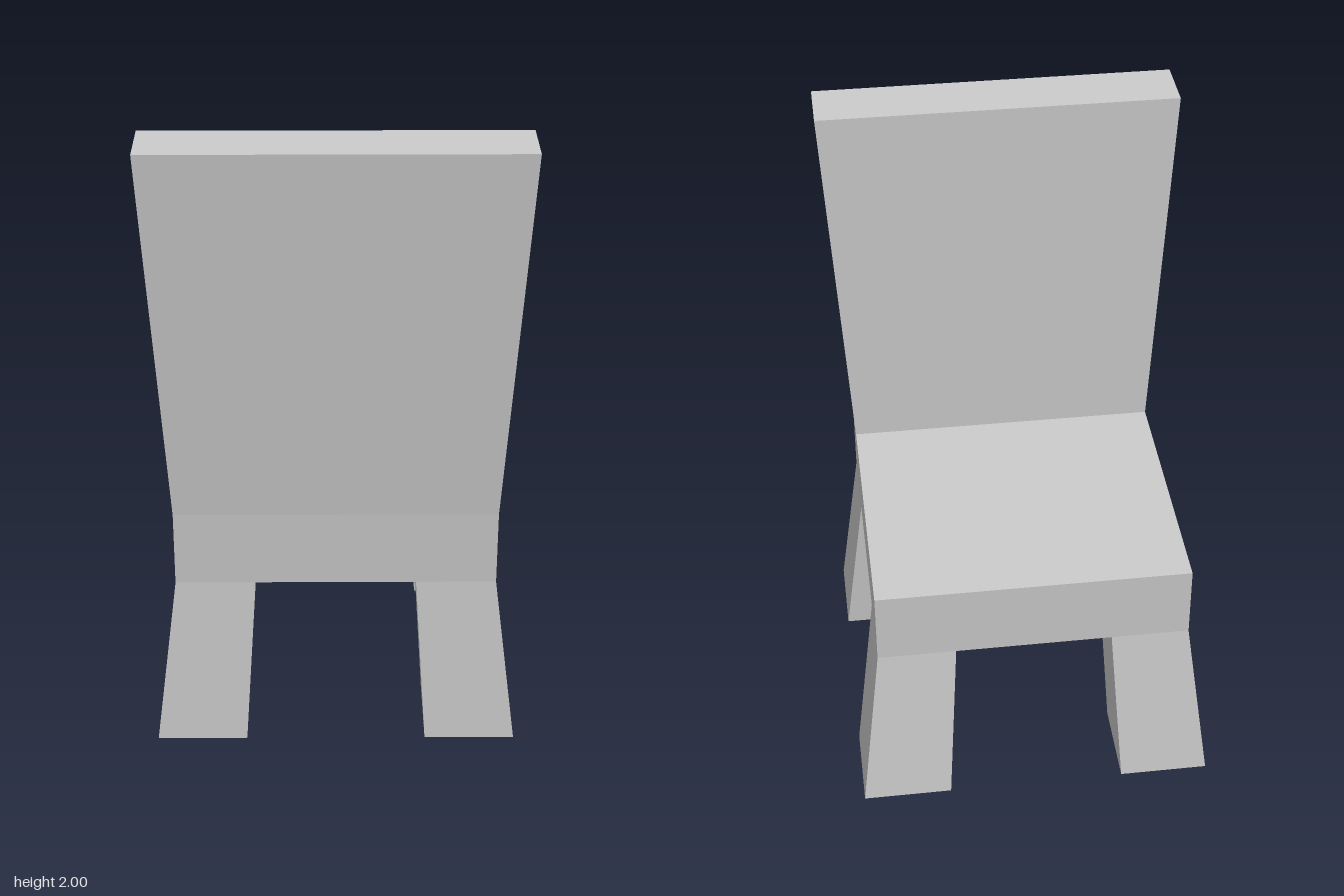
import * as THREE from 'three';

const material = new THREE.MeshStandardMaterial({ color: 0xcccccc, flatShading: true });

// Six-sided block between two rectangles, each given as { y, x: [min, max], z: [min, max] }
function block(name, bottom, top) {
  const geometry = new THREE.BoxGeometry(1, 1, 1);
  const p = geometry.attributes.position;
  for (let i = 0; i < p.count; i++) {
    const level = p.getY(i) > 0 ? top : bottom;
    p.setXYZ(i, level.x[p.getX(i) > 0 ? 1 : 0], level.y, level.z[p.getZ(i) > 0 ? 1 : 0]);
  }
  geometry.computeVertexNormals();
  const mesh = new THREE.Mesh(geometry, material);
  mesh.name = name;
  return mesh;
}

export function createModel() {
  const chair = new THREE.Group();
  chair.name = 'chair';
  const seatBottom = 0.555, seatTop = 0.8;

  // Thick square seat
  const seatX = [-0.5, 0.5], seatZ = [-0.49, 0.51];
  chair.add(block('seat',
    { y: seatBottom, x: seatX, z: seatZ },
    { y: seatTop, x: seatX, z: seatZ }));

  // Backrest, widening and leaning outwards
  chair.add(block('backrest',
    { y: seatTop, x: seatX, z: [0.355, 0.51] },
    { y: 2, x: [-0.57, 0.57], z: [0.38, 0.57] }));

  // Four splayed legs, one under each seat corner
  const legRows = [
    { end: 'negativeZ', foot: [-0.57, -0.285], top: [-0.49, -0.24] },
    { end: 'backrest', foot: [0.29, 0.57], top: [0.26, 0.51] },
  ];
  for (const { end, foot, top } of legRows) {
    for (const side of [-1, 1]) {
      const span = (inner, outer) => (side > 0 ? [inner, outer] : [-outer, -inner]);
      const name = (side > 0 ? 'left' : 'right') + (end === 'backrest' ? 'BackrestLeg' : 'SeatEdgeLeg');
      chair.add(block(name,
        { y: 0, x: span(0.285, 0.57), z: foot },
        { y: seatBottom, x: span(0.25, 0.5), z: top }));
    }
  }
  return chair;
}
